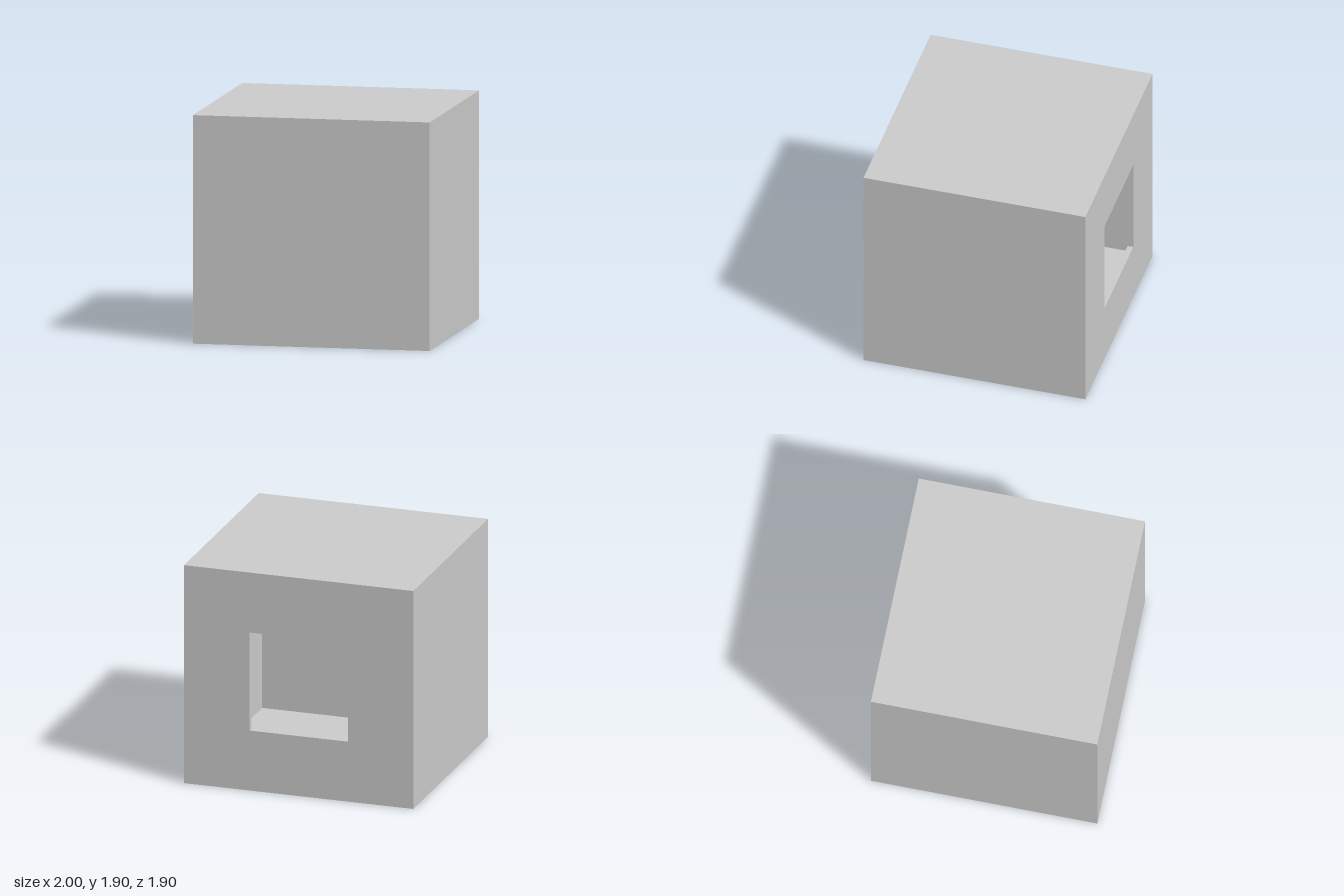
import * as THREE from 'three';

const W = 2, H = 1.905, D = 1.905; // outer size
const T = 0.048; // panel thickness
const HOLE = 0.857; // square window opening

export function createModel() {
  const model = new THREE.Group();
  model.name = 'hollowRoom';
  const material = new THREE.MeshStandardMaterial({ color: 0xcccccc });

  const add = (name, geometry, x, y, z) => {
    const mesh = new THREE.Mesh(geometry, material);
    mesh.name = name;
    mesh.position.set(x, y, z);
    model.add(mesh);
  };

  // Floor and ceiling fit between the walls
  const slab = new THREE.BoxGeometry(W - 2 * T, T, D - 2 * T);
  add('floor', slab, 0, T / 2, 0);
  add('ceiling', slab, 0, H - T / 2, 0);

  // Side walls
  const side = new THREE.BoxGeometry(T, H, D - 2 * T);
  add('leftWall', side, (W - T) / 2, H / 2, 0);
  add('rightWall', side, -(W - T) / 2, H / 2, 0);

  // Solid front wall
  add('frontWall', new THREE.BoxGeometry(W, H, T), 0, H / 2, (D - T) / 2);

  // Back wall with a centred square window
  const rect = (Type, w, h) => new Type([
    new THREE.Vector2(-w / 2, -h / 2),
    new THREE.Vector2(w / 2, -h / 2),
    new THREE.Vector2(w / 2, h / 2),
    new THREE.Vector2(-w / 2, h / 2),
  ]);
  const wall = rect(THREE.Shape, W, H);
  wall.holes.push(rect(THREE.Path, HOLE, HOLE));
  add('backWall', new THREE.ExtrudeGeometry(wall, { depth: T, bevelEnabled: false }), 0, H / 2, -D / 2);

  return model;
}
